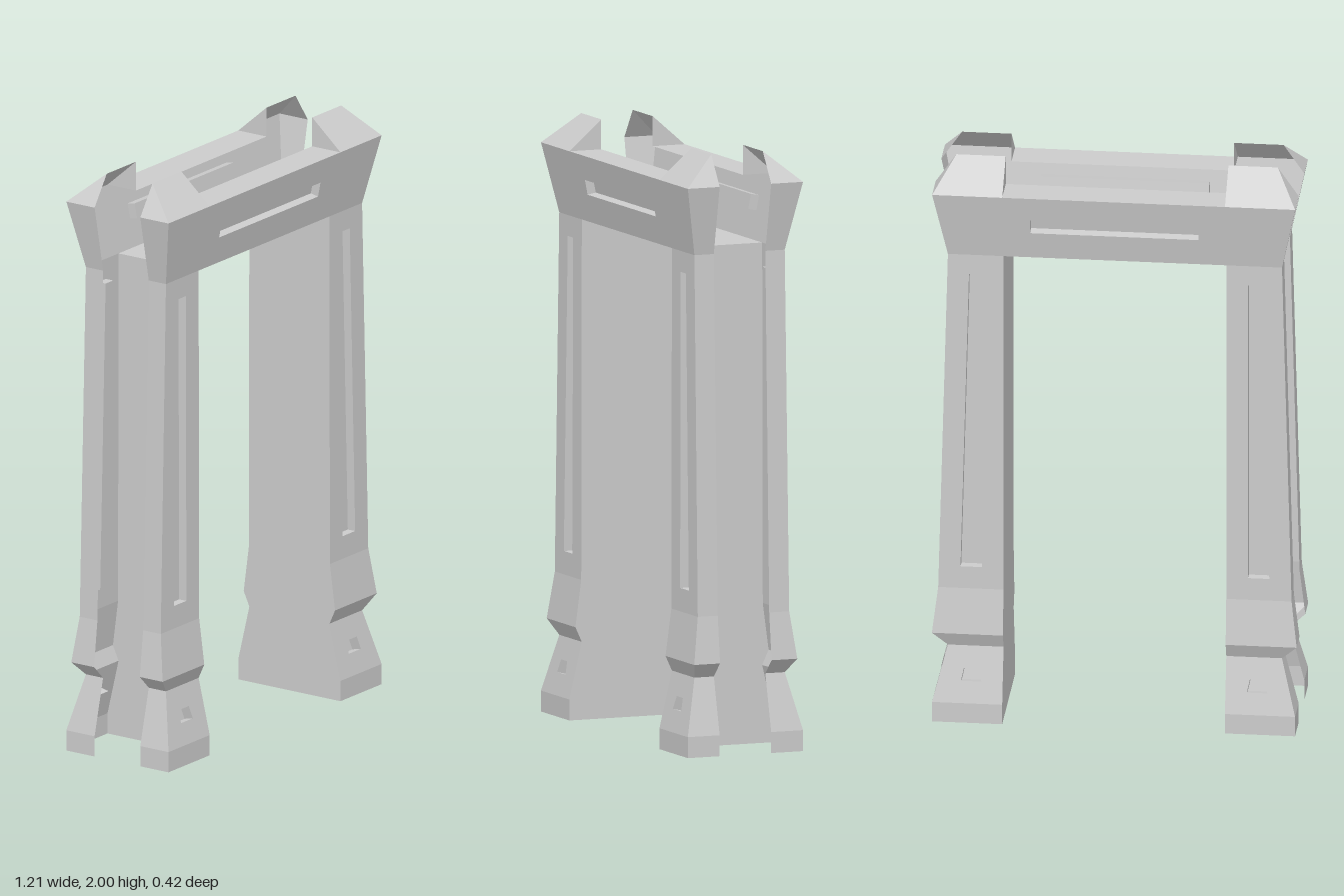
import * as THREE from 'three';

const material = new THREE.MeshStandardMaterial({ color: 0xcccccc, flatShading: true, side: THREE.DoubleSide });

// Leg profile from the ground up: [height, outer x, front z]
const PROFILE = [
  [0, 0.603, 0.208], [0.07, 0.603, 0.208], [0.26, 0.555, 0.163], [0.31, 0.606, 0.186],
  [0.467, 0.587, 0.165], [1.67, 0.555, 0.163], [1.9, 0.603, 0.208],
];
const INNER_X = 0.37, BACK_Z = 0.093, SOFFIT_Y = 1.67, TOP_Y = 1.9;

// Flat faces, each given as a loop of corners
function faces(name, loops) {
  const pos = [];
  for (const p of loops)
    for (let i = 1; i < p.length - 1; i++) pos.push(...p[0], ...p[i], ...p[i + 1]);
  const g = new THREE.BufferGeometry();
  g.setAttribute('position', new THREE.Float32BufferAttribute(pos, 3));
  g.computeVertexNormals();
  const m = new THREE.Mesh(g, material);
  m.name = name;
  return m;
}

// Tilted front panel between two profile rows, with an optional sunken slot
function panel(name, a, b, outline, slot, depth = 0.03) {
  const group = new THREE.Group();
  group.name = name;
  const zAt = y => a[2] + (b[2] - a[2]) * (y - a[0]) / (b[0] - a[0]);
  const shape = new THREE.Shape(outline.map(p => new THREE.Vector2(...p)));
  if (slot) shape.holes.push(new THREE.Path(slot.map(p => new THREE.Vector2(...p))));
  const g = new THREE.ShapeGeometry(shape);
  const pos = g.attributes.position;
  for (let i = 0; i < pos.count; i++) pos.setZ(i, zAt(pos.getY(i)));
  g.computeVertexNormals();
  const face = new THREE.Mesh(g, material);
  face.name = name + 'Face';
  group.add(face);
  if (slot) {
    const n = new THREE.Vector2(a[2] - b[2], b[0] - a[0]).normalize(); // (y, z) of the normal
    const rim = slot.map(([x, y]) => [x, y, zAt(y)]);
    const floor = rim.map(([x, y, z]) => [x, y - n.x * depth, z - n.y * depth]);
    const walls = rim.map((p, i) => {
      const j = (i + 1) % rim.length;
      return [p, rim[j], floor[j], floor[i]];
    });
    group.add(faces(name + 'Recess', [floor, ...walls]));
  }
  return group;
}

// One open-backed leg on the +x side with its cap
function createLeg() {
  const leg = new THREE.Group();
  leg.name = 'leg';
  const slots = {
    1: [[0.441, 0.143], [0.509, 0.143], [0.5, 0.186], [0.45, 0.186]],
    4: [[0.442, 0.545], [0.513, 0.545], [0.485, 1.6], [0.442, 1.6]],
  };
  const sides = [];
  for (let i = 0; i < PROFILE.length - 1; i++) {
    const a = PROFILE[i], b = PROFILE[i + 1];
    sides.push([[a[1], a[0], a[2]], [a[1], a[0], BACK_Z], [b[1], b[0], BACK_Z], [b[1], b[0], b[2]]]);
    if (a[0] < SOFFIT_Y) {
      const outline = [[INNER_X, a[0]], [a[1], a[0]], [b[1], b[0]], [INNER_X, b[0]]];
      leg.add(panel('legPanel', a, b, outline, slots[i], i === 1 ? 0.035 : 0.03));
    }
  }
  leg.add(faces('outerSide', sides));

  // Hipped cap above the shoulder
  const [, x, z] = PROFILE[PROFILE.length - 1];
  const tip = [0.534, 2, BACK_Z], ridge = [INNER_X, 2, BACK_Z];
  const corner = [x, TOP_Y, z], innerCorner = [INNER_X, TOP_Y, z];
  leg.add(faces('cap', [
    [innerCorner, corner, tip, ridge],
    [corner, [x, TOP_Y, BACK_Z], tip],
    [innerCorner, ridge, [INNER_X, TOP_Y, BACK_Z]],
  ]));
  return leg;
}

// Front half of the arch: two legs and the lintel
function createFrame(name) {
  const frame = new THREE.Group();
  frame.name = name;
  const left = createLeg(), right = createLeg();
  right.scale.x = -1;
  left.name = 'leftLeg';
  right.name = 'rightLeg';
  const [a, b] = PROFILE.slice(-2);
  frame.add(left, right, panel('lintel', a, b,
    [[-a[1], a[0]], [a[1], a[0]], [b[1], b[0]], [-b[1], b[0]]],
    [[-0.28, 1.765], [0.28, 1.765], [0.28, 1.815], [-0.28, 1.815]]));
  frame.add(faces('lintelTop', [[
    [-INNER_X, TOP_Y, b[2]], [INNER_X, TOP_Y, b[2]], [INNER_X, TOP_Y, BACK_Z], [-INNER_X, TOP_Y, BACK_Z],
  ]]));
  return frame;
}

export function createModel() {
  const model = new THREE.Group();
  model.name = 'archway';
  const front = createFrame('frontFrame');
  const back = createFrame('backFrame');
  back.rotation.y = Math.PI;
  model.add(front, back);

  // Lining of the opening, joining both frames
  const jamb = PROFILE.filter(p => p[0] <= SOFFIT_Y);
  for (const s of [1, -1]) {
    const strips = jamb.slice(1).map((b, i) => {
      const a = jamb[i], x = s * INNER_X;
      return [[x, a[0], -s * a[2]], [x, a[0], s * a[2]], [x, b[0], s * b[2]], [x, b[0], -s * b[2]]];
    });
    model.add(faces(s > 0 ? 'leftJamb' : 'rightJamb', strips));
  }
  const z = jamb[jamb.length - 1][2];
  model.add(faces('soffit', [[
    [-INNER_X, SOFFIT_Y, -z], [INNER_X, SOFFIT_Y, -z], [INNER_X, SOFFIT_Y, z], [-INNER_X, SOFFIT_Y, z],
  ]]));
  return model;
}
